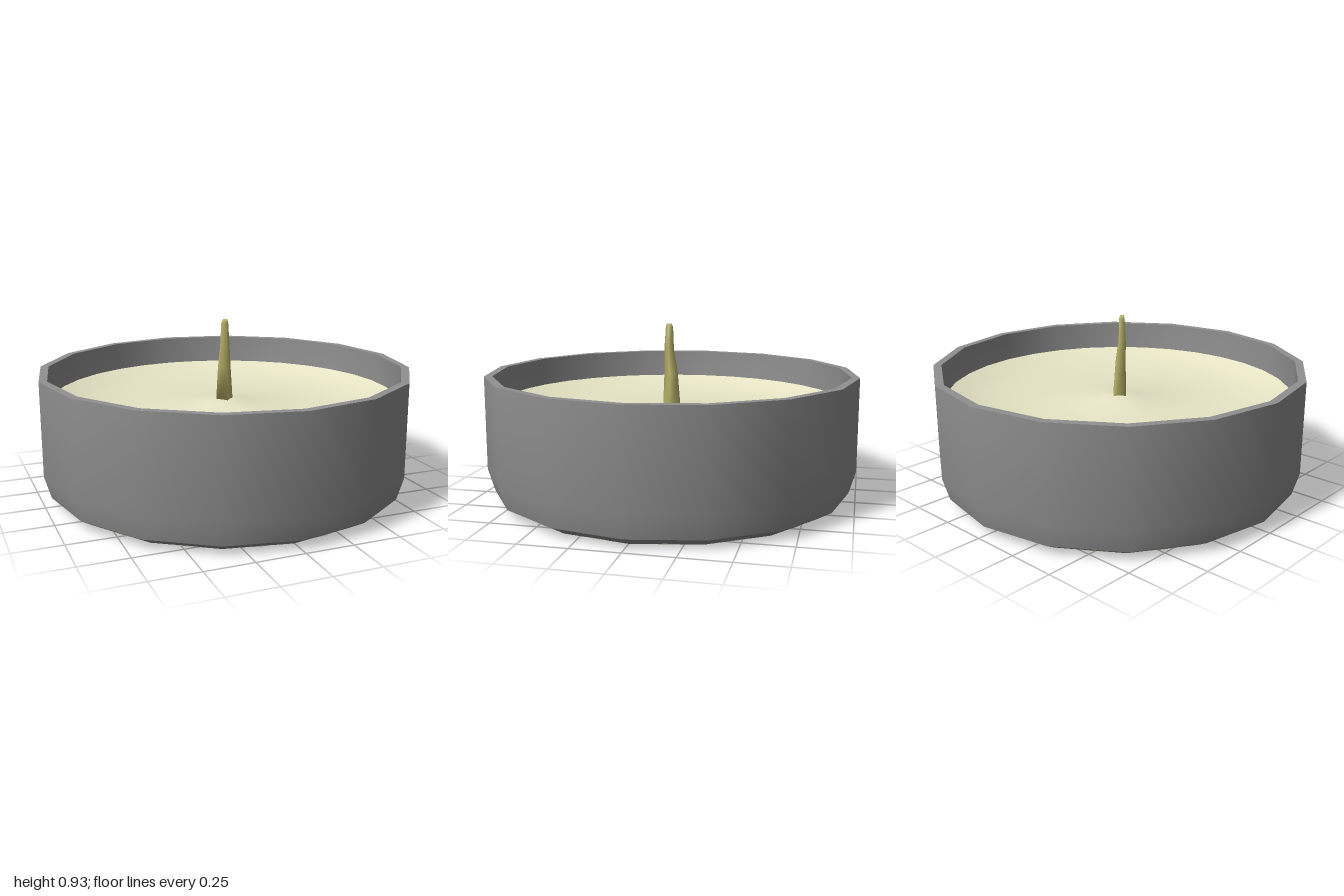
import * as THREE from 'three';
import { toCreasedNormals } from 'three/addons/utils/BufferGeometryUtils.js';

const potMaterial = new THREE.MeshStandardMaterial({ color: 0x909090 });
potMaterial.name = 'greyMetal';
const waxMaterial = new THREE.MeshStandardMaterial({ color: 0xefedcc });
waxMaterial.name = 'creamWax';
const wickMaterial = new THREE.MeshStandardMaterial({ color: 0xb8b368 });
wickMaterial.name = 'oliveWick';

// Revolved part from [radius, height] pairs, with sharp edges kept
function turned(name, profile, sides, material, crease) {
  const points = profile.map(([r, y]) => new THREE.Vector2(r, y));
  const geometry = toCreasedNormals(new THREE.LatheGeometry(points, sides), crease);
  const mesh = new THREE.Mesh(geometry, material);
  mesh.name = name;
  return mesh;
}

// Four-sided tapering wick, each ring given as [height, radius, x, z]
function makeWick() {
  const rings = [
    [0.46, 0.05, 0, 0],
    [0.67, 0.037, -0.003, 0.005],
    [0.79, 0.027, -0.004, 0.016],
    [0.915, 0.02, -0.004, 0.014],
    [0.932, 0.013, -0.004, 0.016],
  ];
  const geometry = new THREE.CylinderGeometry(1, 1, 1, 4, rings.length - 1);
  const position = geometry.attributes.position;
  for (let i = 0; i < position.count; i++) {
    const level = Math.round((position.getY(i) + 0.5) * (rings.length - 1));
    const [y, r, x, z] = rings[level];
    position.setXYZ(i, x + position.getX(i) * r, y, z + position.getZ(i) * r);
  }
  const mesh = new THREE.Mesh(toCreasedNormals(geometry, 1.6), wickMaterial);
  mesh.name = 'wick';
  return mesh;
}

export function createModel() {
  const group = new THREE.Group();
  group.name = 'candle';

  // Open cup with a bevelled foot and thin wall
  group.add(turned('cup', [
    [0, 0], [0.88, 0], [0.965, 0.05], [1, 0.17], [1, 0.67],
    [0.957, 0.67], [0.955, 0.18], [0.925, 0.07], [0.86, 0.03], [0, 0.03],
  ], 16, potMaterial, 0.6));

  // Solid wax filling the cup: dished top, small rise at the wick,
  // and a round base that just shows at the middle of each foot facet
  group.add(turned('wax', [
    [0, 0.002], [0.873, 0.002], [0.905, 0.075], [0.935, 0.18],
    [0.935, 0.516], [0.85, 0.487], [0.75, 0.466], [0.62, 0.452],
    [0.45, 0.447], [0.25, 0.458], [0.1, 0.483], [0, 0.503],
  ], 32, waxMaterial, 0.6));

  group.add(makeWick());
  return group;
}
